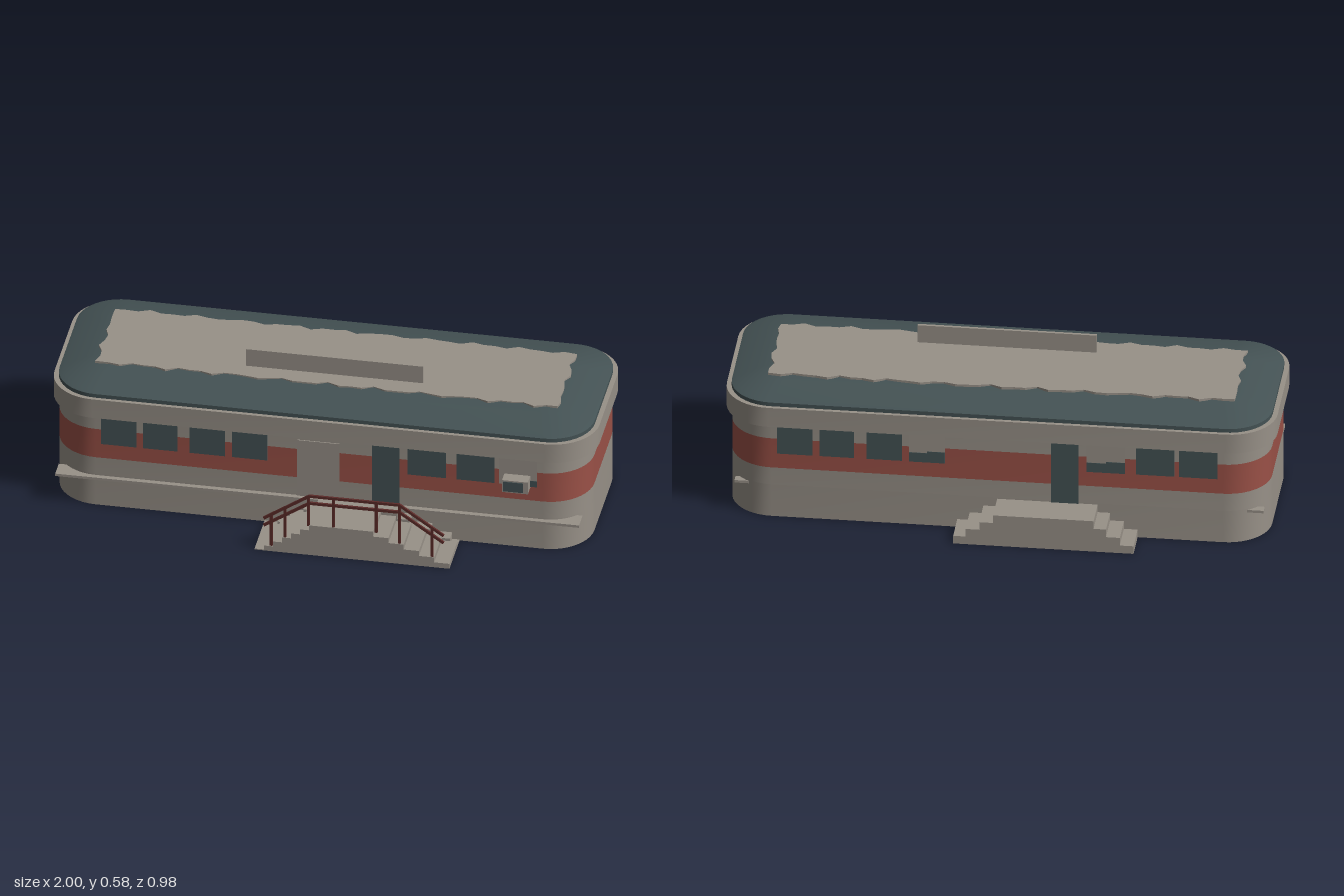
import * as THREE from 'three';
import { toCreasedNormals } from 'three/addons/utils/BufferGeometryUtils.js';

const ZC = -0.0375; // body centre in z

function mat(name, color, side = THREE.FrontSide) {
  const m = new THREE.MeshStandardMaterial({ color, side });
  m.name = name;
  return m;
}

// Rounded rectangle loop, seen from above
function loop(hx, hz, r, seg = 10) {
  const pts = [];
  [[1, 1], [-1, 1], [-1, -1], [1, -1]].forEach(([sx, sz], q) => {
    for (let i = 0; i <= seg; i++) {
      const a = (q + i / seg) * Math.PI / 2;
      pts.push([sx * (hx - r) + r * Math.cos(a), ZC + sz * (hz - r) + r * Math.sin(a)]);
    }
  });
  return pts;
}

// Skin through rings [y, halfX, halfZ, radius], listed from bottom to top
function loft(rings, capTop = false) {
  const pos = [], idx = [];
  let n = 0;
  for (const [y, hx, hz, r] of rings) {
    const l = loop(hx, hz, r);
    n = l.length;
    l.forEach(([x, z]) => pos.push(x, y, z));
  }
  for (let k = 0; k < rings.length - 1; k++) {
    for (let i = 0; i < n; i++) {
      const j = (i + 1) % n, a = k * n + i, b = k * n + j;
      idx.push(a, a + n, b, b, a + n, b + n);
    }
  }
  if (capTop) {
    const base = (rings.length - 1) * n, c = pos.length / 3;
    pos.push(0, rings[rings.length - 1][0], ZC);
    for (let i = 0; i < n; i++) idx.push(base + i, c, base + (i + 1) % n);
  }
  const g = new THREE.BufferGeometry();
  g.setAttribute('position', new THREE.Float32BufferAttribute(pos, 3));
  g.setIndex(idx);
  g.computeVertexNormals();
  return toCreasedNormals(g, 0.5);
}

// Stepped block: left and right are the outer x of each tread, lowest first
function stairs(left, right, height, z0, z1) {
  const s = new THREE.Shape();
  const n = left.length, h = height / n;
  s.moveTo(left[0], 0);
  left.forEach((x, i) => {
    s.lineTo(x, i * h);
    s.lineTo(x, (i + 1) * h);
  });
  for (let i = n - 1; i >= 0; i--) {
    s.lineTo(right[i], (i + 1) * h);
    s.lineTo(right[i], i * h);
  }
  const g = new THREE.ExtrudeGeometry(s, { depth: z1 - z0, bevelEnabled: false });
  return g.translate(0, 0, z0);
}

export function createModel() {
  const group = new THREE.Group();
  const cream = mat('weathered cream', 0x989188);
  const creamWall = mat('weathered cream', 0x989188, THREE.DoubleSide);
  creamWall.name = 'weathered cream wall';
  const red = mat('faded red', 0x9a5147);
  const dark = mat('dark slate', 0x445254);
  const maroon = mat('maroon rail', 0x5a2a28);

  const add = (name, geo, m, parent = group) => {
    const mesh = new THREE.Mesh(geo, m);
    mesh.name = name;
    parent.add(mesh);
    return mesh;
  };
  // Box given by its limits
  const box = (name, x0, x1, y0, y1, z0, z1, m, parent) => {
    const g = new THREE.BoxGeometry(x1 - x0, y1 - y0, z1 - z0);
    g.translate((x0 + x1) / 2, (y0 + y1) / 2, (z0 + z1) / 2);
    return add(name, g, m, parent);
  };

  // Body walls, stacked by colour, open below a raised floor
  const W = [0.98, 0.328, 0.16];
  add('skirt', loft([[0, ...W], [0.13, ...W]]), creamWall);
  add('lowerWall', loft([[0.13, ...W], [0.2, ...W]]), cream);
  add('redBand', loft([[0.2, ...W], [0.32, ...W]]), red);
  add('upperWall', loft([[0.32, ...W], [0.4, ...W]]), cream);
  const floorShape = new THREE.Shape(loop(0.98, 0.328, 0.16).map(([x, z]) => new THREE.Vector2(x, z)));
  add('floor', new THREE.ShapeGeometry(floorShape).rotateX(Math.PI / 2).translate(0, 0.13, 0), creamWall);

  // Cornice and sloping roof
  add('cornice', loft([[0.375, 0.975, 0.323, 0.155], [0.375, 1, 0.343, 0.17],
    [0.453, 1, 0.343, 0.17], [0.453, 0.97, 0.318, 0.155]]), cream);
  add('roof', loft([[0.45, 0.982, 0.329, 0.16], [0.468, 0.982, 0.329, 0.16], [0.475, 0.965, 0.315, 0.15],
    [0.498, 0.885, 0.215, 0.09], [0.51, 0.83, 0.167, 0.06]], true), dark);

  // Ragged pale sheet on top of the roof
  const edge = [];
  const hx = 0.845, hz = 0.183;
  const wave = t => 0.007 * Math.sin(t * 31) + 0.005 * Math.sin(t * 67 + 1);
  for (let i = 0; i < 40; i++) edge.push([-hx + 2 * hx * i / 40, -hz + wave(i / 40 * 2)]);
  for (let i = 0; i < 10; i++) edge.push([hx + wave(i / 14), -hz + 2 * hz * i / 10]);
  for (let i = 0; i < 40; i++) edge.push([hx - 2 * hx * i / 40, hz + wave(i / 40 * 2 + 3)]);
  for (let i = 0; i < 10; i++) edge.push([-hx + wave(i / 14 + 5), hz - 2 * hz * i / 10]);
  const sheet = new THREE.Shape(edge.map(([x, z]) => new THREE.Vector2(x, -z)));
  add('roofSheet', new THREE.ExtrudeGeometry(sheet, { depth: 0.009, bevelEnabled: false })
    .rotateX(-Math.PI / 2).translate(0, 0.504, ZC - 0.007), cream);
  box('signBoard', -0.31, 0.34, 0.505, 0.583, 0.06, 0.071, cream);

  // Windows and door, repeated on the back by a half turn
  const zf = 0.328;
  const side = (name, flip) => {
    const s = new THREE.Group();
    s.name = name;
    s.position.z = ZC;
    if (flip) s.rotation.y = Math.PI;
    group.add(s);
    const plate = (n, x0, x1, y0, y1, m, t = 0.003) => box(n, x0, x1, y0, y1, zf - 0.005, zf + t, m, s);
    plate('door', 0.195, 0.295, 0.125, 0.372, dark);
    [[-0.8, -0.67], [-0.645, -0.52], [-0.475, -0.345], [-0.32, -0.19],
      [0.325, 0.465], [0.505, 0.643], [0.66, 0.8]].forEach(([a, b], i) => {
      const covered = flip ? i === 3 || i === 4 : i === 6;
      // The back runs the other way, so its covered windows are the inner two
      if (!covered) plate('window', a, b, 0.26, 0.37, dark);
      else {
        plate('windowBoard', a, b, 0.26, 0.37, cream);
        if (flip) {
          plate('windowGap', a, (a + b) / 2, 0.26, 0.298, dark, 0.0045);
          plate('windowGap', (a + b) / 2, b, 0.26, 0.305, dark, 0.0045);
        } else plate('windowGap', 0.77, b, 0.26, 0.285, dark, 0.0045);
      }
    });
    if (!flip) plate('boardedDoor', -0.08, 0.075, 0.125, 0.36, cream, 0.004);
  };
  side('frontOpenings', false);
  side('backOpenings', true);

  // Cooling unit below the covered front window
  box('coolingUnit', 0.68, 0.775, 0.255, 0.305, 0.28, 0.34, cream);
  box('coolingGrille', 0.685, 0.757, 0.26, 0.3, 0.338, 0.343, dark);

  // Ledges along the long walls
  box('frontLedge', -0.965, 0.957, 0.115, 0.125, 0.24, 0.309, cream);
  box('backLedge', -0.965, 0.957, 0.115, 0.125, -0.341, -0.31, cream);

  // Entrance steps
  const leftX = [], rightX = [];
  for (let i = 0; i < 6; i++) {
    leftX.push(-0.165 + 0.033 * i);
    rightX.push(0.515 - 0.056 * i);
  }
  add('frontSteps', stairs(leftX, rightX, 0.125, 0.333, 0.488), cream);
  box('frontStepBase', -0.2, 0.515, 0, 0.004, 0.29, 0.488, cream);
  add('innerFrontSteps', stairs([-0.145, -0.1, -0.05, 0], [0.488, 0.415, 0.34, 0.295], 0.125, 0.28, 0.335), cream);
  add('backSteps', stairs([-0.51, -0.46, -0.41, -0.365], [0.145, 0.1, 0.05, 0], 0.125, -0.49, -0.355), cream);

  // Handrail: two bars following the steps, with posts
  const rail = new THREE.Group();
  rail.name = 'handrail';
  group.add(rail);
  const path = [[-0.165, 0.135], [0, 0.245], [0.33, 0.245], [0.49, 0.135]];
  const bar = (name, [x0, y0], [x1, y1]) => {
    const m = add(name, new THREE.BoxGeometry(Math.hypot(x1 - x0, y1 - y0) + 0.005, 0.01, 0.008), maroon, rail);
    m.position.set((x0 + x1) / 2, (y0 + y1) / 2, 0.481);
    m.rotation.z = Math.atan2(y1 - y0, x1 - x0);
  };
  for (const drop of [0, 0.03]) {
    for (let i = 0; i < 3; i++) {
      bar('railBar', [path[i][0], path[i][1] - drop], [path[i + 1][0], path[i + 1][1] - drop]);
    }
  }
  [[-0.14, 0.02, 0.15], [-0.09, 0.05, 0.185], [-0.003, 0.12, 0.245], [0.088, 0.12, 0.245],
    [0.245, 0.12, 0.245], [0.33, 0.08, 0.245], [0.45, 0.04, 0.16]]
    .forEach(([x, y0, y1]) => box('railPost', x - 0.005, x + 0.005, y0, y1, 0.477, 0.485, maroon, rail));

  return group;
}
